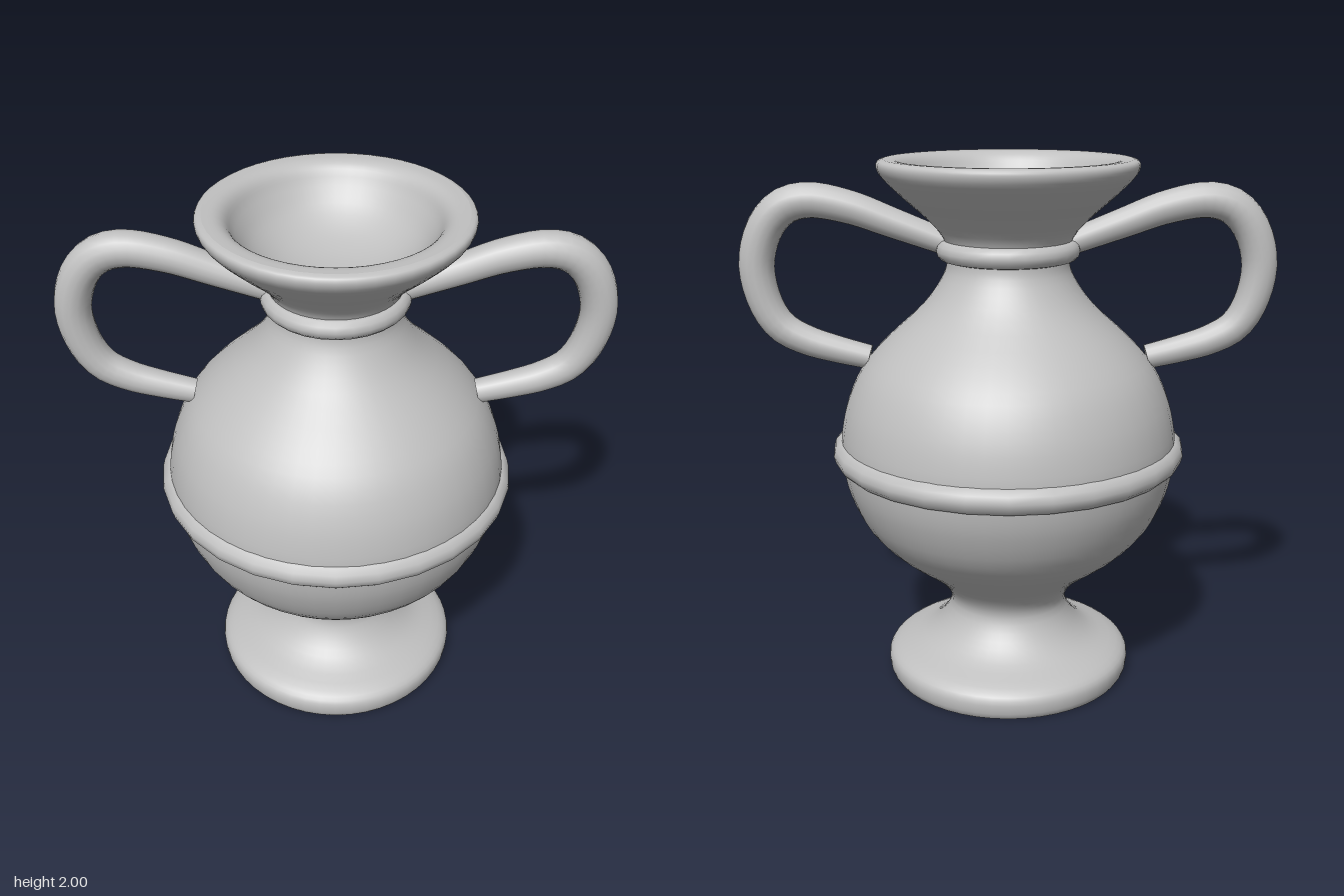
import * as THREE from 'three';

const clay = new THREE.MeshStandardMaterial({ color: 0xc0c0c0 });
clay.name = 'grey clay';

const vectors = (pairs) => pairs.map(([x, y]) => new THREE.Vector2(x, y));

function add(parent, name, geometry) {
  const mesh = new THREE.Mesh(geometry, clay);
  mesh.name = name;
  parent.add(mesh);
  return mesh;
}

// Tube swelling towards the bend, with slimmer, capped ends
function makeHandle(side) {
  const handle = new THREE.Group();
  handle.name = side > 0 ? 'leftHandle' : 'rightHandle';
  const path = new THREE.CatmullRomCurve3([
    [0.21, 1.69], [0.42, 1.768], [0.58, 1.826], [0.73, 1.851], [0.82, 1.826], [0.887, 1.752],
    [0.925, 1.62], [0.9, 1.475], [0.845, 1.385], [0.755, 1.333], [0.64, 1.297], [0.52, 1.267],
  ].map(([x, y]) => new THREE.Vector3(side * x, y, 0)));

  const steps = 40, sides = 16, full = 0.067, slim = 0.046;
  const tube = new THREE.TubeGeometry(path, steps, full, sides);
  const pos = tube.attributes.position;
  const v = new THREE.Vector3();
  for (let i = 0; i <= steps; i++) {
    const t = i / steps;
    const centre = path.getPointAt(t);
    const k = (slim + (full - slim) * Math.sin(Math.PI * t)) / full;
    for (let j = 0; j <= sides; j++) {
      const n = i * (sides + 1) + j;
      v.fromBufferAttribute(pos, n).sub(centre).multiplyScalar(k).add(centre);
      pos.setXYZ(n, v.x, v.y, v.z);
    }
  }
  tube.computeBoundingSphere();
  add(handle, 'handleTube', tube);

  for (const t of [0, 1]) {
    const cap = add(handle, 'handleEnd', new THREE.CircleGeometry(slim, sides));
    const p = path.getPointAt(t);
    const out = path.getTangentAt(t).multiplyScalar(t ? 1 : -1);
    cap.position.copy(p);
    cap.lookAt(p.clone().add(out));
  }
  return handle;
}

export function createModel() {
  const vase = new THREE.Group();
  vase.name = 'vase';

  // Foot, belly, neck and flared lip in one turned profile
  const outer = new THREE.SplineCurve(vectors([
    [0.462, 0], [0.474, 0.025], [0.474, 0.075], [0.435, 0.11], [0.335, 0.15], [0.265, 0.21],
    [0.225, 0.29], [0.25, 0.36], [0.32, 0.43], [0.45, 0.53], [0.55, 0.64], [0.61, 0.77],
    [0.632, 0.87], [0.634, 0.93], [0.63, 1.0], [0.605, 1.11], [0.55, 1.23], [0.46, 1.335],
    [0.32, 1.465], [0.245, 1.57], [0.225, 1.64], [0.24, 1.72], [0.3, 1.79], [0.39, 1.87],
    [0.455, 1.935], [0.474, 1.97], [0.47, 1.992], [0.45, 2],
  ]));
  add(vase, 'body', new THREE.LatheGeometry(outer.getPoints(81), 48));

  // Rim rolling into the shallow bowl of the mouth
  const mouth = new THREE.SplineCurve(vectors([
    [0.45, 2], [0.405, 1.996], [0.372, 1.975], [0.34, 1.925], [0.285, 1.86],
    [0.2, 1.805], [0.1, 1.775], [0, 1.765],
  ]));
  add(vase, 'mouth', new THREE.LatheGeometry(mouth.getPoints(28), 48));

  const base = add(vase, 'base', new THREE.CircleGeometry(0.462, 48));
  base.rotation.x = Math.PI / 2;

  // Raised rings round the belly and the neck
  for (const [name, radius, tube, y] of [
    ['bellyRing', 0.615, 0.052, 0.92],
    ['neckRing', 0.228, 0.039, 1.673],
  ]) {
    const ring = add(vase, name, new THREE.TorusGeometry(radius, tube, 12, 28));
    ring.rotation.x = Math.PI / 2;
    ring.position.y = y;
  }

  vase.add(makeHandle(1), makeHandle(-1));
  return vase;
}
